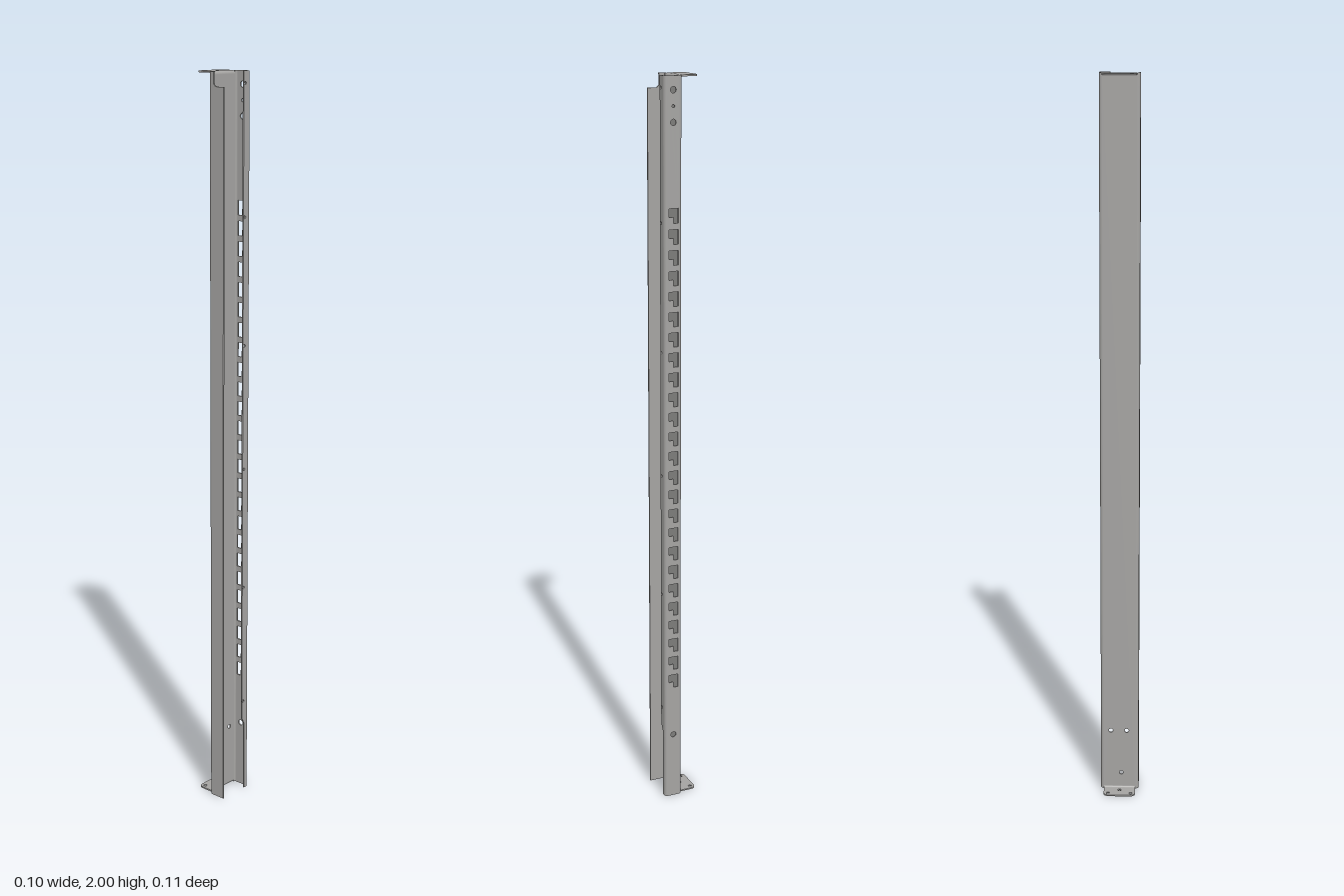
import * as THREE from 'three';

const T = 0.004;   // sheet thickness
const R = 0.009;   // outer bend radius
const H = 2;       // height
const X = 0.05;    // open edge of the flanges
const Z = 0.0535;  // outer faces of the flanges
const ZW = Z - R;  // half width of the flat web

const steel = new THREE.MeshStandardMaterial({ color: 0xa5a4a2 });
steel.name = 'galvanised steel';

const polygon = (pts) => new THREE.Shape(pts.map(([x, y]) => new THREE.Vector2(x, y)));

function addHole(shape, x, y, r) {
  const p = new THREE.Path();
  p.absarc(x, y, r, 0, Math.PI * 2, true);
  shape.holes.push(p);
}

const extrude = (shape, depth) =>
  new THREE.ExtrudeGeometry(shape, { depth, bevelEnabled: false, curveSegments: 8 });

// quarter ring for a sheet-metal bend, starting at angle a
function bendShape(cx, cy, a) {
  const s = new THREE.Shape();
  s.absarc(cx, cy, R, a, a + Math.PI / 2, false);
  s.absarc(cx, cy, R - T, a + Math.PI / 2, a, true);
  return s;
}

export function createModel() {
  const group = new THREE.Group();
  group.name = 'slottedPost';
  const add = (name, geometry) => {
    const m = new THREE.Mesh(geometry, steel);
    m.name = name;
    group.add(m);
  };
  // sheet drawn in (z, y), standing with its inner face at x + T
  const sideSheet = (shape, x) => extrude(shape, T).rotateY(-Math.PI / 2).translate(x + T, 0, 0);
  // sheet drawn in (x, -z), extruded upwards
  const upright = (shape, y, h) => extrude(shape, h).rotateX(-Math.PI / 2).translate(0, y, 0);

  // web with bolt holes near the foot
  const web = polygon([[-ZW, R], [ZW, R], [ZW, H - R], [-ZW, H - R]]);
  addHole(web, 0.02, 0.18, 0.006);
  addHole(web, -0.025, 0.18, 0.006);
  addHole(web, 0.005, 0.05, 0.006);
  add('web', sideSheet(web, 0));

  // front flange, notched at the top
  const front = polygon([[R, 0], [X, 0], [X, 1.963], [0.024, 1.963], [0.018, 1.969], [0.018, H], [R, H]]);
  add('frontFlange', extrude(front, T).translate(0, 0, Z - T));

  // back flange with hook slots and bolt holes
  const back = polygon([[R, 0], [X - R, 0], [X - R, H], [R, H]]);
  for (let i = 0; i < 25; i++) {
    const y = 1.65 - i * 0.054;
    back.holes.push(new THREE.Path([
      [0.011, y - 0.019], [0.011, y + 0.019], [0.038, y + 0.019],
      [0.038, y - 0.003], [0.025, y - 0.003], [0.025, y - 0.019],
    ].map(([a, b]) => new THREE.Vector2(a, b))));
  }
  for (const [y, r] of [[1.965, 0.008], [1.925, 0.004], [1.885, 0.008], [0.19, 0.008]]) {
    addHole(back, 0.025, y, r);
  }
  add('backFlange', extrude(back, T).translate(0, 0, -Z));

  // return lip, narrowed at the foot, with a row of small holes
  const lip = polygon([[-ZW, 0], [-0.036, 0], [-0.036, 0.2], [-0.026, 0.22], [-0.026, H], [-ZW, H]]);
  for (let i = 0; i < 6; i++) addHole(lip, -0.031, 1.97 - i * 0.34, 0.004);
  add('returnLip', sideSheet(lip, X - T));

  // long rounded bends
  add('frontBend', upright(bendShape(R, -ZW, Math.PI), 0, H));
  add('backBend', upright(bendShape(R, ZW, Math.PI / 2), 0, H));
  add('lipBend', upright(bendShape(X - R, ZW, 0), 0, H));

  // end brackets turned out from the web
  const x0 = -0.05, x1 = T - R, c = 0.014;
  const plate = new THREE.Shape();
  plate.moveTo(x1, -ZW);
  plate.lineTo(x1, ZW);
  plate.lineTo(x0 + c, ZW);
  plate.absarc(x0 + c, ZW - c, c, Math.PI / 2, Math.PI, false);
  plate.absarc(x0 + c, -ZW + c, c, Math.PI, Math.PI * 1.5, false);
  plate.closePath();
  addHole(plate, -0.037, 0.032, 0.005);
  addHole(plate, -0.037, -0.032, 0.005);
  addHole(plate, -0.018, 0, 0.005);
  for (const [name, y, cy, a] of [['top', H - T, H - R, 0], ['bottom', 0, R, Math.PI * 1.5]]) {
    add(name + 'Bracket', upright(plate, y, T));
    add(name + 'BracketBend', extrude(bendShape(x1, cy, a), 2 * ZW).translate(0, 0, -ZW));
  }
  return group;
}
